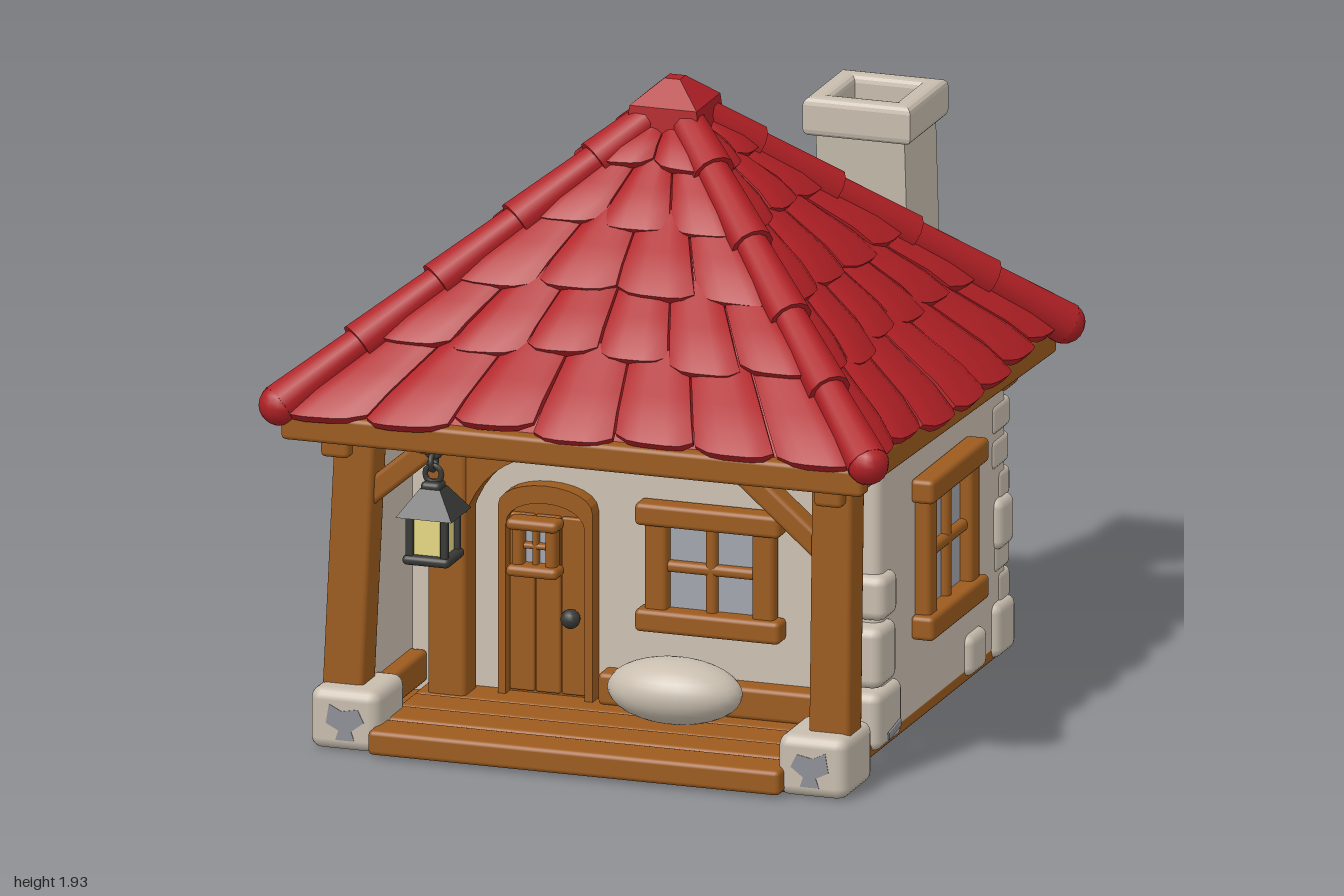
import * as THREE from 'three';
import { RoundedBoxGeometry } from 'three/addons/geometries/RoundedBoxGeometry.js';

const mat = (name, color, side = THREE.FrontSide) => {
  const m = new THREE.MeshStandardMaterial({ color, side });
  m.name = name;
  return m;
};
const V = (x, y, z) => new THREE.Vector3(x, y, z);

export function createModel() {
  const model = new THREE.Group();
  model.name = 'cottage';
  const red = mat('red tile', 0xb02025);
  const wood = mat('wood', 0x9c5b1e);
  const plaster = mat('plaster', 0xcdc1b1);
  const stone = mat('stone', 0xc8bdae);
  const patch = mat('grey patch', 0x8e9097);
  const iron = mat('dark iron', 0x383836);
  const glow = mat('lamp glow', 0xe6d884);
  const glass = mat('glass', 0xa3a6ae);

  let seed = 7;
  const rnd = (a) => {
    seed = (seed * 16807) % 2147483647;
    return (seed / 2147483647 - 0.5) * 2 * a;
  };
  const add = (name, geo, m, parent = model) => {
    const mesh = new THREE.Mesh(geo, m);
    mesh.name = name;
    parent.add(mesh);
    return mesh;
  };
  const group = (name, parent = model) => {
    const g = new THREE.Group();
    g.name = name;
    parent.add(g);
    return g;
  };
  // Rounded block given by its min and max on each axis
  const block = (name, x0, x1, y0, y1, z0, z1, m, parent = model, r = 0.015) => {
    const s = [x1 - x0, y1 - y0, z1 - z0];
    const geo = new RoundedBoxGeometry(...s, 2, Math.min(r, Math.min(...s) * 0.45));
    const mesh = add(name, geo, m, parent);
    mesh.position.set((x0 + x1) / 2, (y0 + y1) / 2, (z0 + z1) / 2);
    return mesh;
  };
  // Square beam running between two points
  const beam = (name, a, b, w, h, m = wood, parent = model) => {
    const mesh = add(name, new RoundedBoxGeometry(w, h, a.distanceTo(b), 2, 0.015), m, parent);
    mesh.position.copy(a).add(b).multiplyScalar(0.5);
    mesh.lookAt(b);
    return mesh;
  };

  // Walls, floor and porch deck
  block('mainWalls', -0.79, 0.77, 0.015, 0.98, -0.83, 0.3, plaster, model, 0.03);
  block('porchSideWall', -0.79, -0.71, 0.015, 0.96, 0.26, 0.64, plaster);
  block('baseFloor', -0.78, 0.77, 0, 0.05, -0.82, 0.8, wood);
  for (let i = 0; i < 4; i++)
    block('deckPlank', -0.65 + rnd(0.01), 0.65 + rnd(0.01), 0.01, 0.085 + rnd(0.006), 0.29 + i * 0.147, 0.432 + i * 0.147, wood);
  block('wallSill', -0.1, 0.66, 0.08, 0.18, 0.28, 0.37, wood);
  block('sideSill', -0.74, -0.66, 0.08, 0.18, 0.3, 0.62, wood);

  // Porch posts on stone feet, with diagonal braces
  for (const s of [-1, 1]) {
    beam('porchPost', V(s * 0.77, 0.15, 0.7), V(s * (s < 0 ? 0.73 : 0.78), 0.99, 0.7), 0.12, 0.13);
    block('postFoot', Math.min(s * 0.85, s * 0.63), Math.max(s * 0.85, s * 0.63), 0, 0.19, 0.58, 0.83, stone, model, 0.035);
    beam('porchBrace', V(s * 0.74, 0.74, 0.7), V(s * 0.46, 0.98, 0.7), 0.08, 0.07);
    beam('porchTie', V(s * 0.78, 0.94, 0.25), V(s * 0.78, 0.94, 0.8), 0.09, 0.08);
    // Worn patch on the front of the foot
    const sp = new THREE.Shape([[-.06, .01], [-.04, .05], [.01, .04], [.05, .06], [.06, 0], [.02, -.02], [.03, -.05], [-.03, -.05], [-.02, -.02]]
      .map(([x, y]) => new THREE.Vector2(x * s, y)));
    add('wornPatch', new THREE.ExtrudeGeometry(sp, { depth: 0.004, bevelEnabled: false }), patch).position.set(s * 0.735, 0.085, 0.828);
  }
  const sidePatch = block('wornPatch', 0.797, 0.803, 0.05, 0.075, 0.2, 0.31, patch);
  sidePatch.rotation.x = 0.15;

  // Inner post, cross beams and the curved brace beside the door
  block('innerPost', -0.62, -0.5, 0.06, 0.96, 0.31, 0.42, wood);
  block('crossBeam', -0.89, 0.8, 0.87, 0.95, 0.3, 0.42, wood);
  block('rearBeam', -0.86, 0.82, 0.85, 0.92, -0.8, -0.68, wood);
  const arch = new THREE.Shape();
  arch.moveTo(-0.52, 0.58);
  arch.quadraticCurveTo(-0.47, 0.84, -0.2, 0.86);
  arch.lineTo(-0.2, 0.94);
  arch.quadraticCurveTo(-0.48, 0.94, -0.57, 0.72);
  add('curvedBrace', new THREE.ExtrudeGeometry(arch, { depth: 0.08, bevelEnabled: false, curveSegments: 10 }), wood).position.z = 0.33;

  // Eave beams, sinking a little to the rear
  beam('frontEave', V(-0.92, 1.01, 0.85), V(0.92, 1.01, 0.85), 0.07, 0.085);
  beam('rearEave', V(-0.9, 0.965, -0.87), V(0.9, 0.965, -0.87), 0.07, 0.075);
  for (const s of [-1, 1]) beam('sideEave', V(s * 0.87, 1.01, 0.88), V(s * 0.87, 0.965, -0.9), 0.07, 0.085);

  // Windows, built facing +z
  const makeWindow = (name, w, h, t, parent = model) => {
    const g = group(name, parent);
    const a = w / 2, b = h / 2;
    add('pane', new THREE.BoxGeometry(w - t, h - t, 0.008), glass, g).position.z = 0.012;
    for (const s of [-1, 1]) {
      block('jamb', s * (a - t / 2) - t / 2, s * (a - t / 2) + t / 2, -b, b, 0, 0.055, wood, g);
      block('rail', -a - t * 0.35, a + t * 0.35, s * (b - t / 2) - t / 2, s * (b - t / 2) + t / 2, 0, 0.075, wood, g);
    }
    const k = t * 0.25;
    block('uprightBar', -k, k, -b + t / 2, b - t / 2, 0, 0.04, wood, g);
    block('crossBar', -a + t / 2, a - t / 2, -k, k, 0, 0.04, wood, g);
    return g;
  };
  makeWindow('frontWindow', 0.41, 0.4, 0.07).position.set(0.245, 0.52, 0.295);
  const sideWin = makeWindow('sideWindow', 0.45, 0.5, 0.075);
  sideWin.position.set(0.765, 0.52, -0.23);
  sideWin.rotation.y = Math.PI / 2;

  // Arched door with a small window and knob
  const door = group('door');
  const archShape = (w, y1) => {
    const s = new THREE.Shape();
    s.moveTo(-w, 0.08);
    s.lineTo(w, 0.08);
    s.lineTo(w, y1 - 0.08);
    s.bezierCurveTo(w, y1 + 0.02, -w, y1 + 0.02, -w, y1 - 0.08);
    return s;
  };
  const surround = archShape(0.15, 0.745);
  surround.holes.push(archShape(0.125, 0.69));
  add('doorFrame', new THREE.ExtrudeGeometry(surround, { depth: 0.06, bevelEnabled: false }), wood, door);
  add('doorLeaf', new THREE.ExtrudeGeometry(archShape(0.13, 0.7), { depth: 0.02, bevelEnabled: false }), wood, door);
  for (let i = 0; i < 3; i++) block('doorPlank', -0.122 + i * 0.082, -0.044 + i * 0.082, 0.09, 0.64, 0.015, 0.035, wood, door, 0.006);
  makeWindow('doorWindow', 0.14, 0.18, 0.035, door).position.set(-0.03, 0.55, 0.03);
  add('doorKnob', new THREE.SphereGeometry(0.03, 14, 10), iron, door).position.set(0.08, 0.335, 0.06);
  door.position.set(-0.27, 0, 0.295);

  // Boulder seat on the deck
  const boulder = add('boulder', new THREE.SphereGeometry(1, 28, 18), stone);
  boulder.scale.set(0.21, 0.1, 0.125);
  boulder.position.set(0.185, 0.185, 0.48);

  // Rough brickwork on the rear wall
  const bricks = group('rearBricks');
  let y = 0.02;
  for (let r = 0; r < 7; r++) {
    const h = r ? 0.108 : 0.14, n = 8, off = r % 2 ? 0.5 : 0;
    for (let i = 0; i < n + (off ? 1 : 0); i++) {
      const x0 = Math.max(-0.8, -0.8 + (i - off) * 0.1975), x1 = Math.min(0.78, -0.8 + (i + 1 - off) * 0.1975);
      const back = -0.846 + rnd(0.008);
      const end = x0 <= -0.79 || x1 >= 0.77;
      if (r < 6 || i % 3) block('brick', x0 + 0.004, x1 - 0.004, y, y + h - 0.008 + rnd(0.006), back, end ? -0.72 + rnd(0.03) : -0.8, stone, bricks, 0.02);
    }
    y += h;
  }
  // Corner stones on the right wall
  for (const [z0, z1, y0, y1] of [[0.16, 0.38, 0.02, 0.2], [0.21, 0.37, 0.21, 0.4], [0.2, 0.33, 0.41, 0.55], [-0.6, -0.45, 0.02, 0.15], [-0.85, -0.69, 0.01, 0.18], [-0.84, -0.71, 0.34, 0.5]])
    block('cornerStone', 0.66, 0.795, y0, y1, z0, z1, stone, model, 0.03);

  // Roof core: four red slopes over a wooden ceiling
  const P = V(0, 1.84, -0.04);
  const C = [V(-0.89, 1.05, 0.84), V(0.89, 1.05, 0.84), V(0.89, 1.0, -0.89), V(-0.89, 1.0, -0.89)];
  const faces = (pts) => {
    const g = new THREE.BufferGeometry().setFromPoints(pts);
    g.computeVertexNormals();
    return g;
  };
  add('roofCore', faces(C.flatMap((c, i) => [c, C[(i + 1) % 4], P])), red);
  add('ceiling', faces([C[0], C[2], C[1], C[0], C[3], C[2]]), wood);

  // Overlapping pillow-shaped tiles in rows on each slope
  const rows = [[-0.03, 0.27, 7], [0.21, 0.48, 6], [0.41, 0.68, 4], [0.61, 0.85, 3], [0.78, 0.97, 2]];
  C.forEach((A, k) => {
    const B = C[(k + 1) % 4];
    const side = group('roofSlope');
    const n = B.clone().sub(A).cross(P.clone().sub(A)).normalize();
    for (const [t0, t1, count] of rows)
      for (let i = 0; i < count; i++) {
        const geo = new THREE.BoxGeometry(1, 1, 1, 6, 4, 1);
        const p = geo.attributes.position;
        const dt = rnd(0.015), lift = 0.03 + rnd(0.008), skew = rnd(0.01);
        for (let j = 0; j < p.count; j++) {
          const a = p.getX(j), v = p.getY(j) + 0.5, w = p.getZ(j) + 0.5;
          const round = Math.pow(Math.abs(a * 2), 4);
          const t = THREE.MathUtils.lerp(t0 + dt + round * 0.025 + a * skew, t1, v);
          const u = (i + 0.5 + a * 0.97) / count;
          const fall = 0.014 * round + (v < 0.1 ? 0.012 : 0);
          const h = lift * (1 - v) + w * (0.042 - fall) - 0.01;
          const q = A.clone().lerp(P, t).lerp(B.clone().lerp(P, t), u).addScaledVector(n, h);
          p.setXYZ(j, q.x, q.y, q.z);
        }
        geo.computeVertexNormals();
        add('roofTile', geo, red, side);
      }
  });

  // Hip ridges of overlapping round caps
  const ends = [V(-0.93, 1.07, 0.86), V(0.93, 1.07, 0.86), V(0.94, 1.03, -0.86), V(-0.94, 1.03, -0.86)];
  const top = V(0, 1.86, -0.04);
  for (const e of ends) {
    const hip = group('hipRidge');
    const dir = top.clone().sub(e).normalize();
    for (let i = 0; i < 5; i++) {
      const cap = add('ridgeCap', new THREE.CylinderGeometry(0.05, 0.066, 0.31, 12), red, hip);
      cap.position.copy(e).lerp(top, (i + 0.5) / 5);
      cap.quaternion.setFromUnitVectors(V(0, 1, 0), dir);
    }
    const tip = add('ridgeEnd', new THREE.SphereGeometry(0.064, 14, 10), red, hip);
    tip.position.copy(e);
  }
  // Square finial
  const finial = group('roofFinial');
  for (const [r0, r1, h, yy] of [[0.035, 0.15, 0.07, 1.895], [0.15, 0.165, 0.1, 1.81]]) {
    const g = new THREE.CylinderGeometry(r0, r1, h, 4, 1).toNonIndexed();
    g.computeVertexNormals();
    const m = add('finialBlock', g, red, finial);
    m.position.set(0, yy, -0.04);
    m.rotation.y = Math.PI / 4;
  }

  // Hollow chimney, its shaft leaning outward toward the foot
  const ring = (a, b, h, bevel) => {
    const sq = (r) => [[-r, -r], [r, -r], [r, r], [-r, r]].map(([x, z]) => new THREE.Vector2(x, z));
    const s = new THREE.Shape(sq(a - bevel));
    s.holes.push(new THREE.Path(sq(b + bevel).reverse()));
    const g = new THREE.ExtrudeGeometry(s, { depth: h - 2 * bevel, bevelSize: bevel, bevelThickness: bevel, bevelSegments: 3 });
    return g.rotateX(-Math.PI / 2).translate(0, bevel, 0);
  };
  const chimney = group('chimney');
  const shaft = ring(0.14, 0.1, 0.68, 0.012);
  const sp = shaft.attributes.position;
  for (let i = 0; i < sp.count; i++) sp.setZ(i, sp.getZ(i) - (0.68 - sp.getY(i)) * 0.08);
  shaft.computeVertexNormals();
  add('chimneyShaft', shaft, stone, chimney).position.y = 1.0;
  add('chimneyCap', ring(0.17, 0.1, 0.12, 0.022), stone, chimney).position.y = 1.63;
  chimney.position.set(0.4, 0, -0.7);

  // Hanging lantern
  const lantern = group('lantern');
  block('lampLight', -0.05, 0.05, 0.62, 0.75, -0.05, 0.05, glow, lantern, 0.005);
  block('lampBase', -0.075, 0.075, 0.6, 0.63, -0.075, 0.075, iron, lantern);
  for (const x of [-0.055, 0.055])
    for (const z of [-0.055, 0.055]) block('lampBar', x - 0.011, x + 0.011, 0.61, 0.76, z - 0.011, z + 0.011, iron, lantern, 0.004);
  const hood = add('lampHood', new THREE.CylinderGeometry(0.045, 0.125, 0.08, 4).toNonIndexed(), iron, lantern);
  hood.geometry.computeVertexNormals();
  hood.position.y = 0.79;
  hood.rotation.y = Math.PI / 4;
  block('lampCrown', -0.032, 0.032, 0.82, 0.85, -0.032, 0.032, iron, lantern);
  for (let i = 0; i < 3; i++) {
    const link = add('chainLink', new THREE.TorusGeometry(0.026, 0.009, 8, 14), iron, lantern);
    link.position.y = 0.87 + i * 0.04;
    link.rotation.y = i * Math.PI / 2;
  }
  lantern.position.set(-0.48, 0, 0.76);
  // Arm that carries the lantern
  beam('lampArm', V(-0.48, 0.97, 0.66), V(-0.48, 0.97, 0.84), 0.05, 0.04);

  return model;
}
